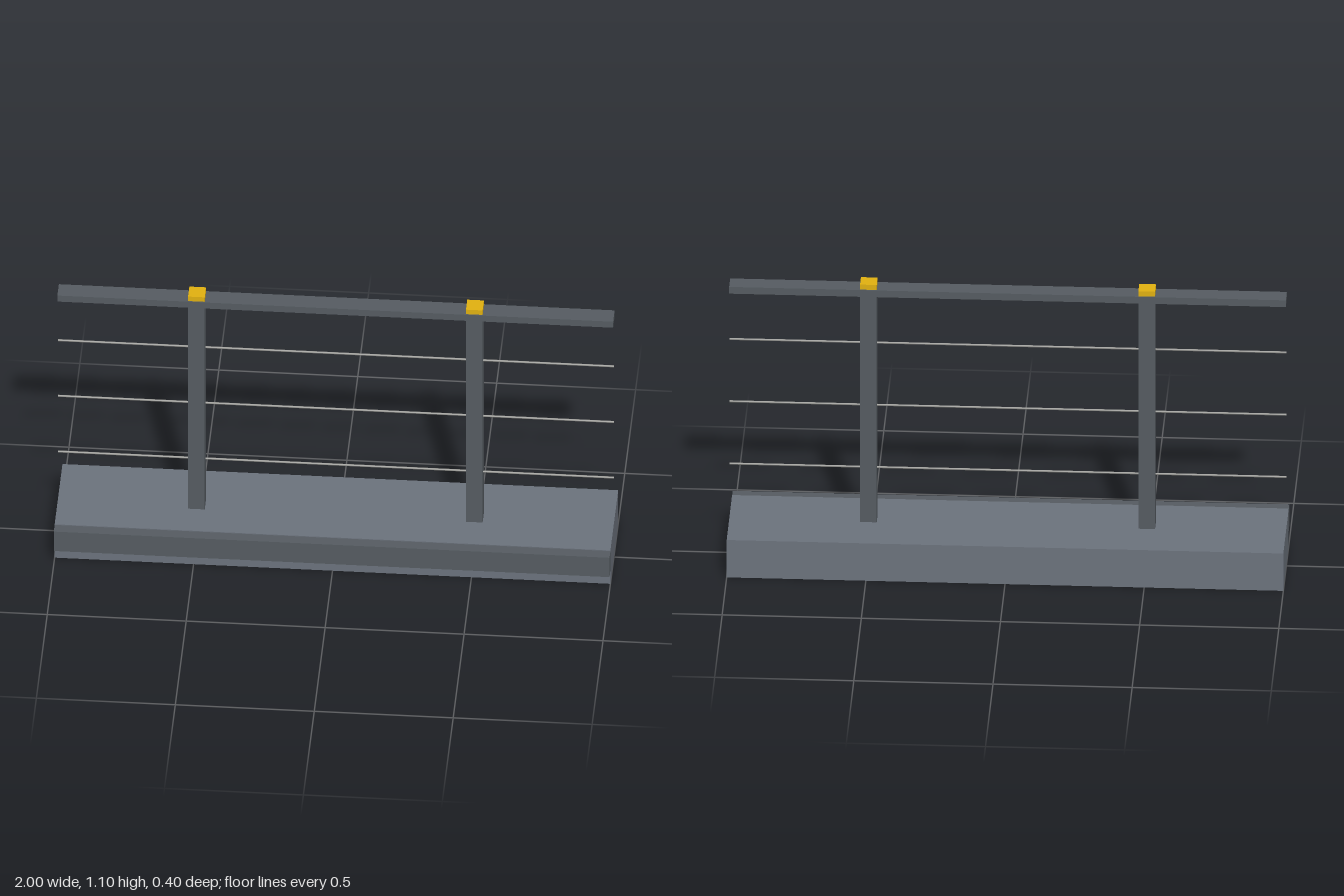
import * as THREE from 'three';

const paint = (color) => new THREE.MeshStandardMaterial({ color });

export function createModel() {
  const group = new THREE.Group();
  const concrete = paint(0x6b727c);
  const steel = paint(0x555b61);
  const wire = paint(0x8c8c88);
  const yellow = paint(0xe0b010);

  // Box given by its size, centre x, bottom y and centre z
  const box = (name, material, w, h, d, x, y, z) => {
    const mesh = new THREE.Mesh(new THREE.BoxGeometry(w, h, d), material);
    mesh.name = name;
    mesh.position.set(x, y + h / 2, z);
    group.add(mesh);
  };

  // Deck slab with an edge beam along the front
  box('deckSlab', concrete, 2, 0.15, 0.36, 0, 0, -0.02);
  box('edgeBeam', steel, 2, 0.087, 0.04, 0, 0.06, 0.18);

  // Posts with yellow caps
  for (const [side, x] of [['left', 0.5], ['right', -0.5]]) {
    box(side + 'Post', steel, 0.06, 0.915, 0.06, x, 0.15, 0);
    box(side + 'PostCap', yellow, 0.06, 0.022, 0.06, x, 1.081, 0);
  }

  // Top handrail
  box('handrail', steel, 2, 0.027, 0.068, 0, 1.056, 0);

  // Horizontal cables through the posts
  const cableGeometry = new THREE.CylinderGeometry(0.004, 0.004, 2, 8).rotateZ(Math.PI / 2);
  [0.357, 0.607, 0.857].forEach((y, i) => {
    const cable = new THREE.Mesh(cableGeometry, wire);
    cable.name = 'cable' + (i + 1);
    cable.position.y = y;
    group.add(cable);
  });

  return group;
}
